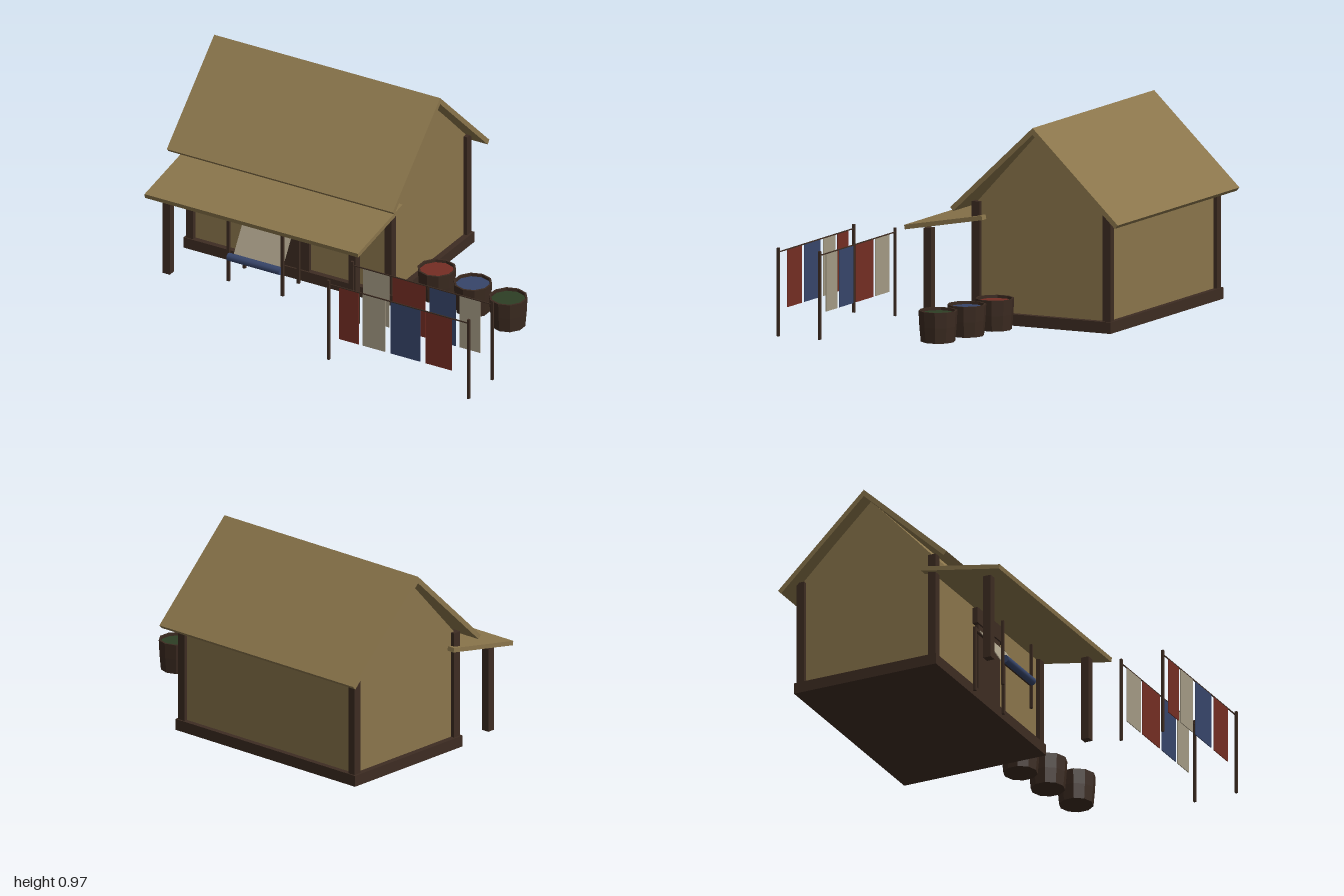
import * as THREE from 'three';

const mat = (name, color) => new THREE.MeshStandardMaterial({ name, color });

export function createModel() {
  const wood = mat('dark wood', 0x3d2c22);
  const straw = mat('straw and clay', 0x8a754b);
  const red = mat('red dye', 0x742d23);
  const blue = mat('blue dye', 0x37456a);
  const cream = mat('undyed cloth', 0xa49a84);
  const green = mat('green dye', 0x2d3f25);
  const barrelWood = mat('barrel wood', 0x3b2a20);
  barrelWood.flatShading = true;

  const model = new THREE.Group();
  model.name = 'dyersHut';

  const add = (parent, name, geometry, material, x = 0, y = 0, z = 0) => {
    const mesh = new THREE.Mesh(geometry, material);
    mesh.name = name;
    mesh.position.set(x, y, z);
    parent.add(mesh);
    return mesh;
  };
  const group = (name, x = 0, y = 0, z = 0) => {
    const g = new THREE.Group();
    g.name = name;
    g.position.set(x, y, z);
    model.add(g);
    return g;
  };
  // Box given by its limits on each axis
  const block = (parent, name, material, [x0, x1], [y0, y1], [z0, z1]) =>
    add(parent, name, new THREE.BoxGeometry(x1 - x0, y1 - y0, z1 - z0), material,
      (x0 + x1) / 2, (y0 + y1) / 2, (z0 + z1) / 2);
  // Sloping slab whose top surface runs from [z, y] at the back to [z, y] at the front
  const slab = (parent, name, material, [x0, x1], [zb, yb], [zf, yf], t) => {
    const tilt = -Math.atan2(yf - yb, zf - zb);
    const mesh = add(parent, name,
      new THREE.BoxGeometry(x1 - x0, t, Math.hypot(zf - zb, yf - yb)), material,
      (x0 + x1) / 2,
      (yb + yf) / 2 - Math.cos(tilt) * t / 2,
      (zb + zf) / 2 - Math.sin(tilt) * t / 2);
    mesh.rotation.x = tilt;
    return mesh;
  };

  // House: sill, gabled walls and corner posts
  const house = group('house');
  block(house, 'sill', wood, [-0.955, 0.206], [0, 0.055], [-0.657, 0.1]);
  const gable = new THREE.Shape([
    [-0.072, 0.05], [0.63, 0.05], [0.63, 0.583], [0.262, 0.942], [-0.072, 0.583],
  ].map(([x, y]) => new THREE.Vector2(x, y)));
  const walls = new THREE.ExtrudeGeometry(gable, { depth: 1.1, bevelEnabled: false });
  walls.rotateY(Math.PI / 2);
  add(house, 'walls', walls, straw, -0.925);
  for (const x of [-0.945, 0.155])
    for (const z of [-0.65, 0.052])
      block(house, 'cornerPost', wood, [x, x + 0.04], [0.05, 0.583], [z, z + 0.042]);

  // Door
  block(house, 'door', wood, [-0.49, -0.265], [0.05, 0.41], [0.06, 0.092]);
  block(house, 'doorLintel', wood, [-0.515, -0.235], [0.4, 0.48], [0.06, 0.1]);

  // Roof and porch
  const roof = group('roof');
  slab(roof, 'frontRoof', straw, [-1, 0.252], [-0.262, 0.97], [0.18, 0.555], 0.024);
  slab(roof, 'backRoof', straw, [-1, 0.252], [-0.72, 0.535], [-0.262, 0.97], 0.024);
  slab(roof, 'porchRoof', straw, [-0.965, 0.217], [0.03, 0.52], [0.446, 0.444], 0.022);
  for (const x of [-0.91, 0.12])
    block(roof, 'porchPost', wood, [x, x + 0.04], [0, 0.428], [0.33, 0.37]);

  // Loom under the porch
  const loom = group('loom');
  for (const x of [-0.6, -0.3])
    for (const z of [0.128, 0.277])
      block(loom, 'loomPost', wood, [x - 0.007, x + 0.007], [0, 0.333], [z - 0.007, z + 0.007]);
  block(loom, 'loomTopBar', wood, [-0.6, -0.3], [0.315, 0.331], [0.121, 0.135]);
  block(loom, 'loomLowBar', wood, [-0.6, -0.3], [0.116, 0.128], [0.271, 0.284]);
  slab(loom, 'warp', cream, [-0.582, -0.312], [0.148, 0.317], [0.26, 0.138], 0.004);
  const roll = add(loom, 'clothRoll', new THREE.CylinderGeometry(0.02, 0.02, 0.29, 10), blue, -0.45, 0.135, 0.286);
  roll.rotation.z = Math.PI / 2;

  // Dye barrels, open at the top
  const profile = [[0, 0], [0.083, 0], [0.09, 0.075], [0.094, 0.15], [0.084, 0.15], [0.084, 0.12]]
    .map(([r, y]) => new THREE.Vector2(r, y));
  [[0.33, -0.1, red], [0.55, -0.065, blue], [0.77, -0.025, green]].forEach(([x, z, dye]) => {
    const barrel = group('dyeBarrel', x, 0, z);
    add(barrel, 'staves', new THREE.LatheGeometry(profile, 10), barrelWood);
    const liquid = add(barrel, 'dye', new THREE.CircleGeometry(0.086, 10, Math.PI / 2), dye, 0, 0.136, 0);
    liquid.rotation.x = -Math.PI / 2;
  });

  // Drying lines: poles, rope and hanging cloths [left, right, colour]
  const lines = [
    [0.717, [[0.275, 0.383, red], [0.405, 0.53, cream], [0.56, 0.725, blue], [0.753, 0.9, red]]],
    [0.495, [[0.275, 0.42, cream], [0.44, 0.62, red], [0.645, 0.79, blue], [0.81, 0.925, cream]]],
  ];
  for (const [z, cloths] of lines) {
    const line = group('dryingLine', 0, 0, z);
    for (const x of [0.216, 0.992])
      block(line, 'linePole', wood, [x - 0.006, x + 0.006], [0, 0.426], [-0.006, 0.006]);
    block(line, 'rope', wood, [0.216, 0.992], [0.403, 0.408], [-0.0025, 0.0025]);
    for (const [x0, x1, dye] of cloths)
      block(line, 'cloth', dye, [x0, x1], [0.126, 0.404], [-0.002, 0.002]);
  }
  return model;
}
